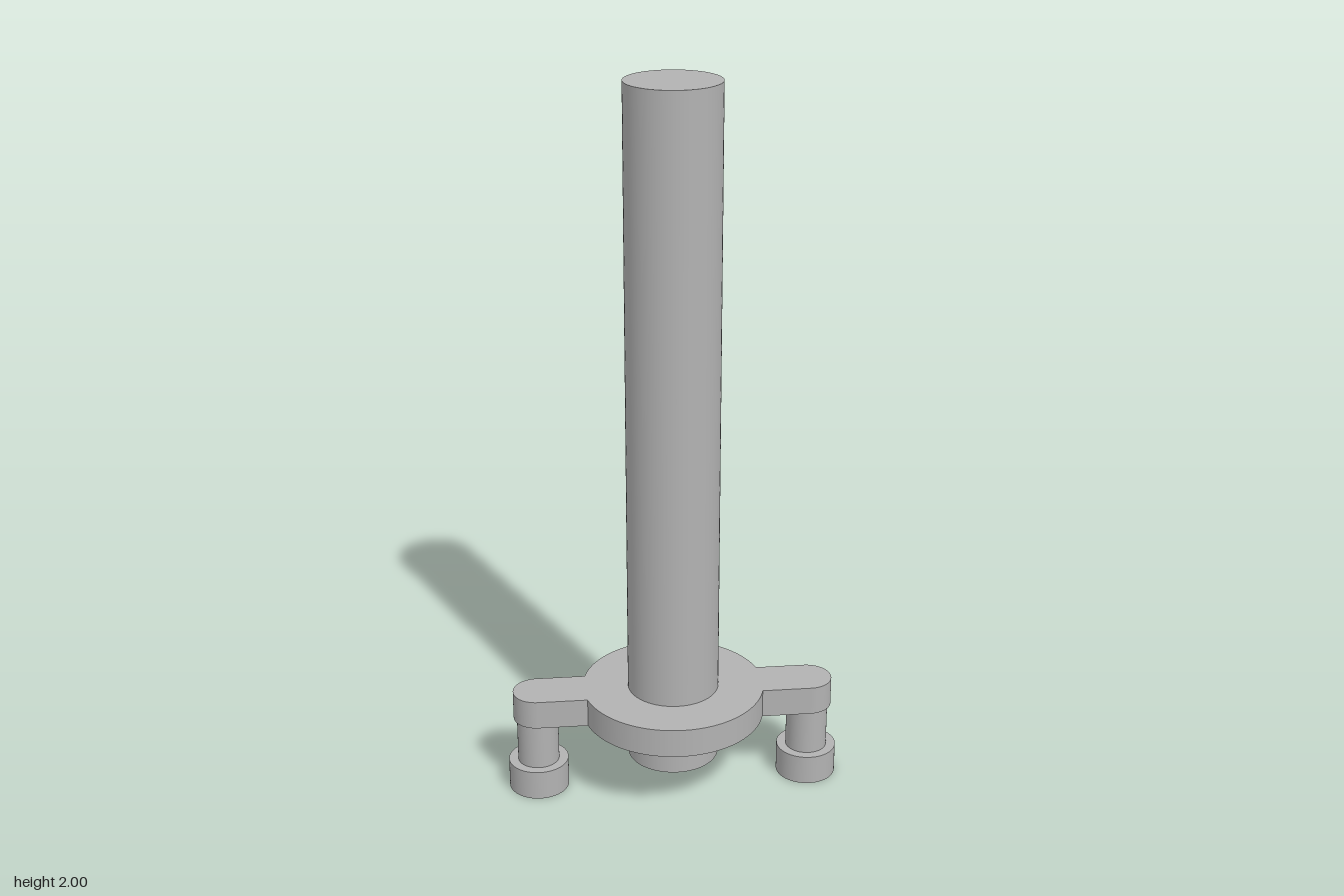
import * as THREE from 'three';

export function createModel() {
  const model = new THREE.Group();
  const grey = new THREE.MeshStandardMaterial({ color: 0xb2b2b2 });
  grey.name = 'plain grey';

  const add = (name, geometry, x = 0, y = 0) => {
    const mesh = new THREE.Mesh(geometry, grey);
    mesh.name = name;
    mesh.position.set(x, y, 0);
    model.add(mesh);
  };
  // Upright cylinder between two heights
  const rod = (name, radius, bottom, top, x = 0) =>
    add(name, new THREE.CylinderGeometry(radius, radius, top - bottom, 64), x, (bottom + top) / 2);

  const legX = 0.383, armR = 0.067, discR = 0.254;
  const plateBottom = 0.218, plateTop = 0.3;

  // Central shaft, running through the plate
  rod('shaft', 0.127, 0.088, 2);

  // Round plate with two round-ended arms, as one outline
  const a = Math.asin(armR / discR);
  const outline = new THREE.Shape();
  outline.absarc(0, 0, discR, a, Math.PI - a);
  outline.absarc(-legX, 0, armR, Math.PI / 2, Math.PI * 1.5);
  outline.absarc(0, 0, discR, Math.PI + a, Math.PI * 2 - a);
  outline.absarc(legX, 0, armR, -Math.PI / 2, Math.PI / 2);
  const plate = new THREE.ExtrudeGeometry(outline, {
    depth: plateTop - plateBottom, bevelEnabled: false, curveSegments: 48,
  });
  plate.rotateX(-Math.PI / 2);
  add('armPlate', plate, 0, plateBottom);

  // A pin and a wider foot under each arm
  for (const [side, sign] of [['left', 1], ['right', -1]]) {
    rod(side + 'Pin', 0.058, 0.085, plateBottom, sign * legX);
    rod(side + 'Foot', 0.084, 0, 0.085, sign * legX);
  }
  return model;
}
